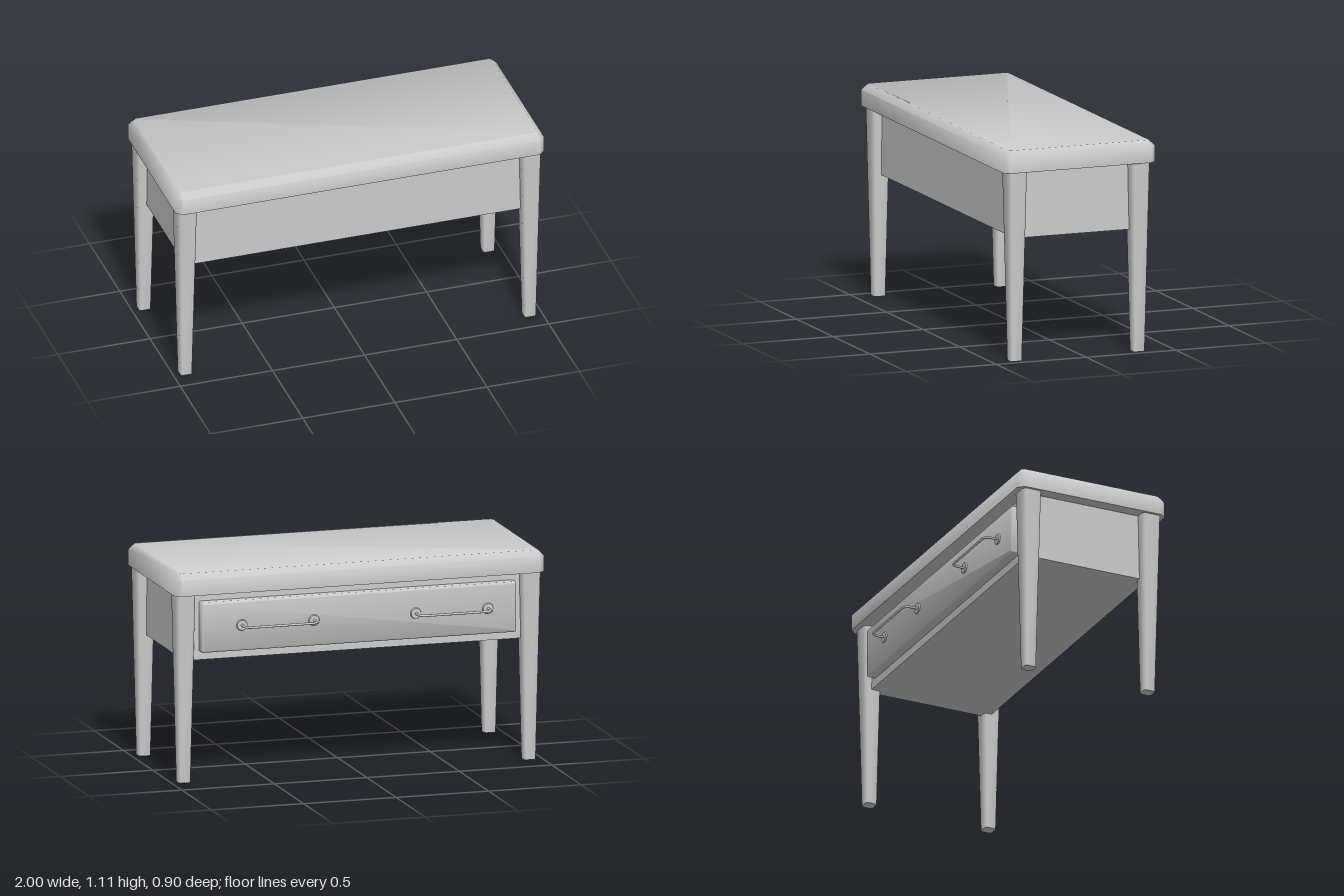
import * as THREE from 'three';
import { toCreasedNormals } from 'three/addons/utils/BufferGeometryUtils.js';

const material = new THREE.MeshStandardMaterial({ color: 0xcccccc });

function add(parent, name, geometry, x = 0, y = 0, z = 0) {
  const mesh = new THREE.Mesh(geometry, material);
  mesh.name = name;
  mesh.position.set(x, y, z);
  parent.add(mesh);
  return mesh;
}

// Stack of rectangles with cut corners; each section is [y, halfX, halfZ, cut]
function loft(sections) {
  const points = [], index = [];
  for (const [y, hx, hz, c] of sections) {
    const ring = [
      [hx, hz - c], [hx, c - hz], [hx - c, -hz], [c - hx, -hz],
      [-hx, c - hz], [-hx, hz - c], [c - hx, hz], [hx - c, hz],
    ];
    for (const [x, z] of ring) points.push(x, y, z);
  }
  const last = (sections.length - 1) * 8;
  for (let s = 0; s < last; s += 8) {
    for (let i = 0; i < 8; i++) {
      const a = s + i, b = s + (i + 1) % 8;
      index.push(a, b, b + 8, a, b + 8, a + 8);
    }
  }
  for (let i = 1; i < 7; i++) {
    index.push(0, i + 1, i, last, last + i, last + i + 1);
  }
  const geometry = new THREE.BufferGeometry();
  geometry.setAttribute('position', new THREE.Float32BufferAttribute(points, 3));
  geometry.setIndex(index);
  return toCreasedNormals(geometry, Math.PI / 3);
}

// Bent bar with a round plate at each end
function createHandle() {
  const handle = new THREE.Group();
  handle.name = 'drawerHandle';
  const h = 0.195, r = 0.035, back = -0.365, out = -0.445;
  const v = (x, z) => new THREE.Vector3(x, 0, z);
  const path = new THREE.CurvePath();
  path.add(new THREE.LineCurve3(v(-h, back), v(-h, out + r)));
  path.add(new THREE.QuadraticBezierCurve3(v(-h, out + r), v(-h, out), v(r - h, out)));
  path.add(new THREE.LineCurve3(v(r - h, out), v(h - r, out)));
  path.add(new THREE.QuadraticBezierCurve3(v(h - r, out), v(h, out), v(h, out + r)));
  path.add(new THREE.LineCurve3(v(h, out + r), v(h, back)));
  add(handle, 'handleBar', new THREE.TubeGeometry(path, 80, 0.0065, 10));
  for (const side of [-1, 1]) {
    const plate = add(handle, 'handlePlate',
      new THREE.CylinderGeometry(0.026, 0.03, 0.008, 20), side * h, 0, -0.374);
    plate.rotation.x = -Math.PI / 2;
  }
  return handle;
}

export function createModel() {
  const group = new THREE.Group();
  group.name = 'desk';

  // Top with softened upper edges and corners
  add(group, 'tableTop', loft([
    [0.995, 1, 0.4225, 0.03],
    [1.08, 1, 0.4225, 0.03],
    [1.11, 0.97, 0.3925, 0.012],
  ]), 0, 0, 0.0275);

  // Box body that holds the drawer
  add(group, 'body', new THREE.BoxGeometry(1.86, 0.36, 0.69), 0, 0.82, 0.025);

  // Tapered legs
  const leg = loft([[0, 0.031, 0.031, 0.008], [0.998, 0.0525, 0.0525, 0.014]]);
  for (const x of [-0.933, 0.933]) {
    add(group, 'frontLeg', leg, x, 0, 0.371);
    add(group, 'backLeg', leg, x, 0, -0.312);
  }

  // Drawer front with a narrow bevel
  const drawer = add(group, 'drawerFront', loft([
    [0.3, 0.85, 0.1325, 0.004],
    [0.362, 0.85, 0.1325, 0.004],
    [0.371, 0.841, 0.1235, 0.004],
  ]), 0, 0.8175, 0);
  drawer.rotation.x = -Math.PI / 2;

  // Pair of handles
  for (const x of [-0.5, 0.44]) {
    const handle = createHandle();
    handle.position.set(x, 0.82, 0);
    group.add(handle);
  }
  return group;
}
